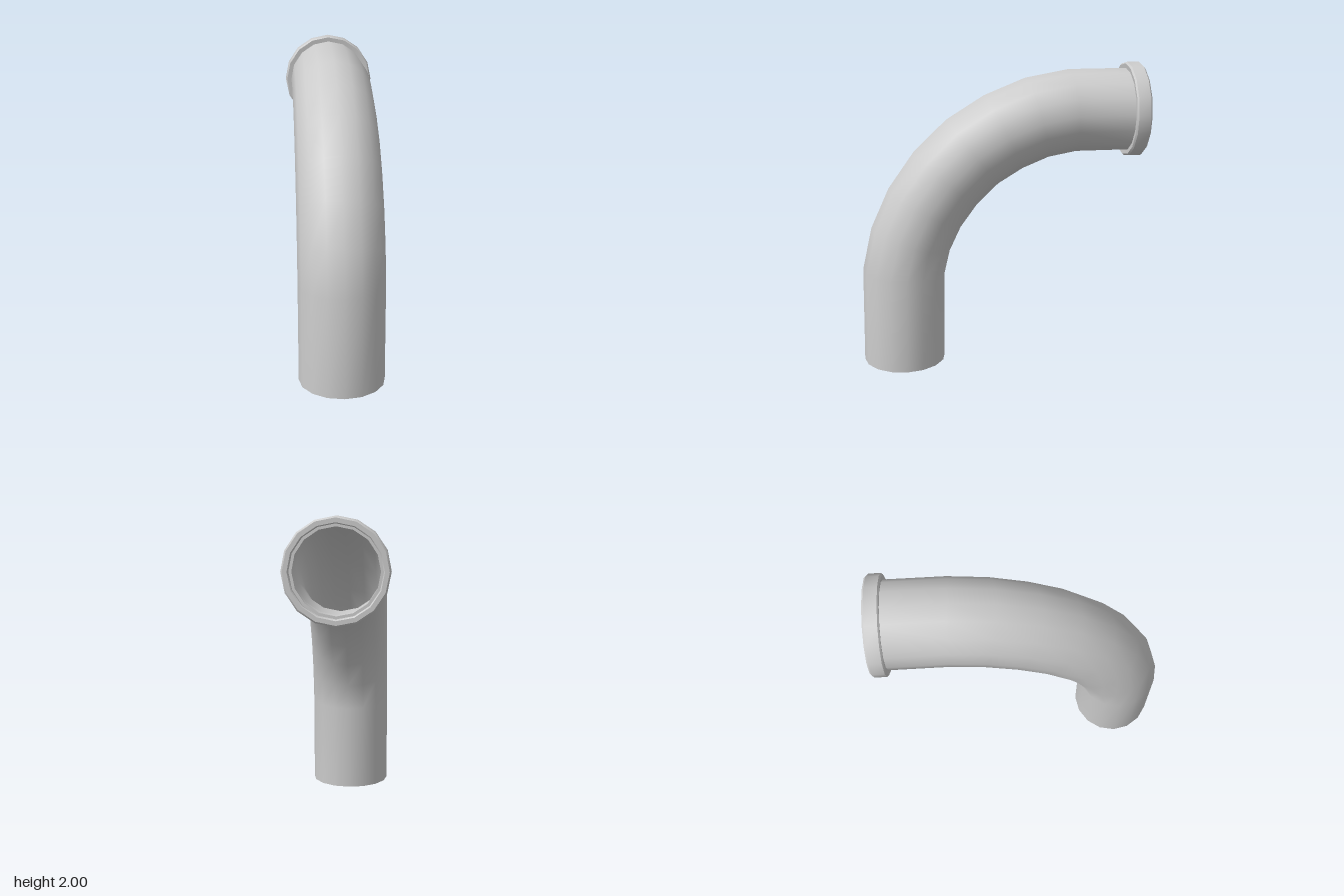
import * as THREE from 'three';
import { toCreasedNormals } from 'three/addons/utils/BufferGeometryUtils.js';

const SIDES = 16;
const RADIUS = 0.275;
const AXIS_Y = 1.685; // height of the horizontal run

// Skins circular rings whose centres and tilts follow the bend in the yz plane
function sweepPipe(stations) {
  const positions = [], index = [];
  for (const [z, y, tilt] of stations) {
    const a = THREE.MathUtils.degToRad(tilt);
    for (let j = 0; j < SIDES; j++) {
      const t = (j / SIDES) * Math.PI * 2;
      const out = RADIUS * Math.cos(t);
      positions.push(RADIUS * Math.sin(t), y + out * Math.sin(a), z + out * Math.cos(a));
    }
  }
  for (let i = 0; i < stations.length - 1; i++) {
    for (let j = 0; j < SIDES; j++) {
      const a = i * SIDES + j, b = i * SIDES + (j + 1) % SIDES;
      index.push(a, b, b + SIDES, a, b + SIDES, a + SIDES);
    }
  }
  const geometry = new THREE.BufferGeometry();
  geometry.setAttribute('position', new THREE.Float32BufferAttribute(positions, 3));
  geometry.setIndex(index);
  geometry.computeVertexNormals();
  return geometry;
}

export function createModel() {
  const group = new THREE.Group();
  group.name = 'pipeElbow';
  const material = new THREE.MeshStandardMaterial({ color: 0xcccccc, side: THREE.DoubleSide });

  // Open pipe: straight riser, eight-step quarter bend, short horizontal run
  const bend = [
    [0.66, 0.62], [0.607, 0.85], [0.508, 1.065], [0.368, 1.26],
    [0.19, 1.43], [-0.015, 1.555], [-0.235, 1.643], [-0.47, AXIS_Y],
  ].map(([z, y], i) => [z, y, 6 + i * 11.4]);
  const pipe = new THREE.Mesh(
    sweepPipe([[0.67, 0, 0], ...bend, [-0.86, AXIS_Y, 90]]), material);
  pipe.name = 'bentPipe';
  group.add(pipe);

  // Socket collar: bevelled outer rim with a stepped mouth
  const profile = [
    [0.255, 0.845], [0.305, 0.84], [0.315, 0.85], [0.315, 0.93], [0.305, 0.94],
    [0.278, 0.94], [0.272, 0.934], [0.272, 0.905], [0.255, 0.905], [0.255, 0.845],
  ].map(([r, h]) => new THREE.Vector2(r, h));
  const ring = new THREE.LatheGeometry(profile, SIDES);
  ring.rotateX(-Math.PI / 2);
  const collar = new THREE.Mesh(toCreasedNormals(ring, Math.PI / 6), material);
  collar.name = 'endCollar';
  collar.position.y = AXIS_Y;
  group.add(collar);

  return group;
}
